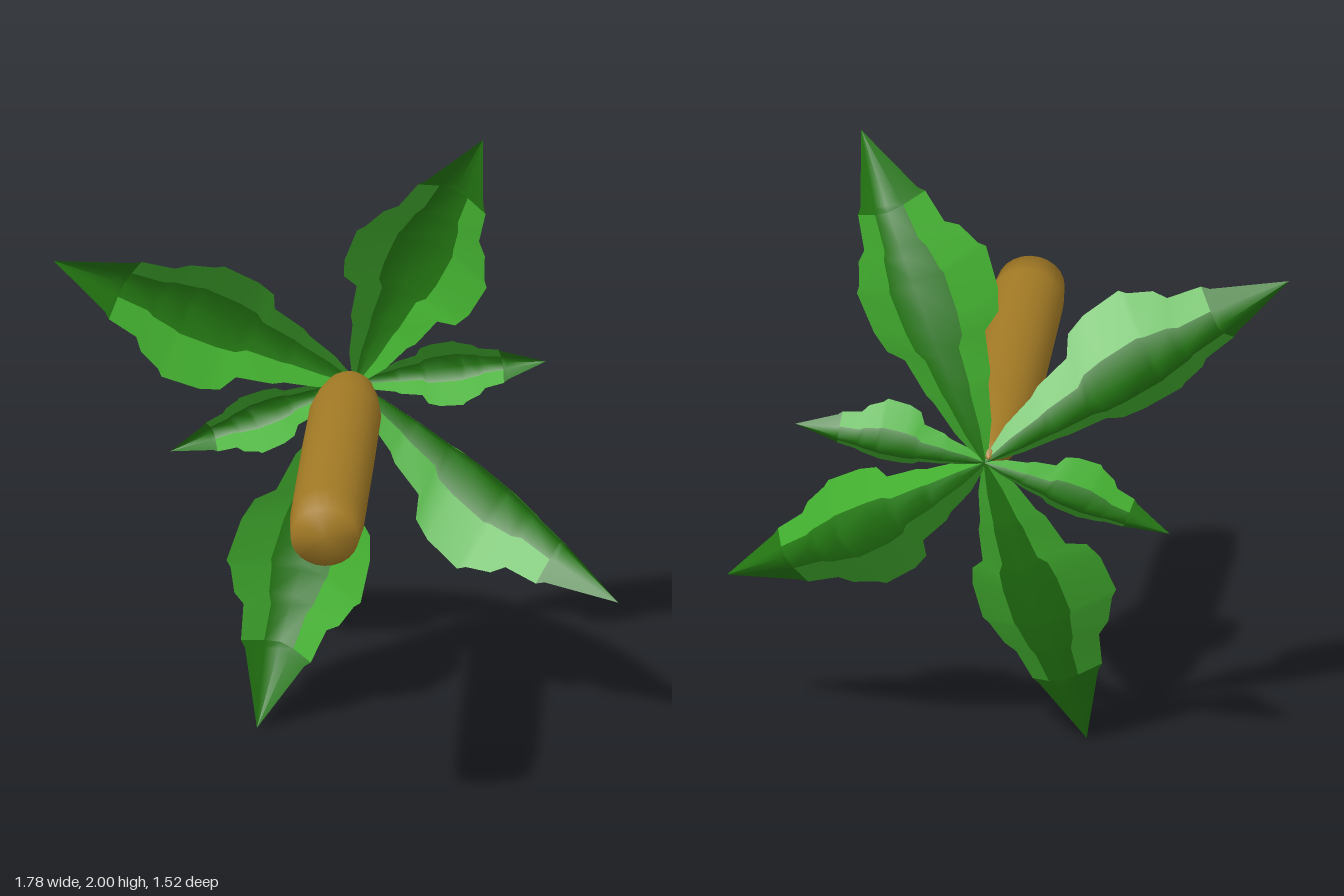
import * as THREE from 'three';

// Leaf outline: distance along the rib, half width as a share of the widest point
const OUTLINE = [[0, 0.04], [0.1, 0.28], [0.2, 0.42], [0.23, 0.5], [0.34, 0.62], [0.37, 0.86], [0.43, 0.96],
  [0.55, 1], [0.57, 0.92], [0.64, 0.78], [0.67, 0.62], [0.77, 0.52], [0.79, 0.44], [1, 0]];
const TIP_ROW = 11;
const ROOT = new THREE.Vector3(0.04, 1.03, -0.735);

// Tip position, upward bow of the rib, then [spread, droop] of the two sides
const LEAVES = [
  { tip: [0.46, 2, -0.38], bow: 0.08, left: [0.23, 0.16], right: [0.215, 0.18] },
  { tip: [-0.89, 1.55, -0.41], bow: 0.06, left: [0.16, 0.23], right: [0.235, 0.15] },
  { tip: [-0.54, 0.8, -0.7], bow: 0.045, left: [0.085, 0.12], right: [0.11, 0.11] },
  { tip: [-0.25, 0, -0.38], bow: 0.08, left: [0.2, 0.19], right: [0.24, 0.15] },
  { tip: [0.89, 0.48, -0.3], bow: 0.1, left: [0.11, 0.25], right: [0.245, 0.14] },
  { tip: [0.64, 1.13, -0.7], bow: 0.045, left: [0.125, 0.1], right: [0.085, 0.12] },
];

// Sheet through rows of points
function sheet(rows) {
  const n = rows[0].length, index = [];
  for (let i = 0; i < rows.length - 1; i++) {
    for (let j = 0; j < n - 1; j++) {
      const a = i * n + j, b = a + n;
      index.push(a, b, a + 1, a + 1, b, b + 1);
    }
  }
  const geometry = new THREE.BufferGeometry().setFromPoints(rows.flat());
  geometry.setIndex(index);
  geometry.computeVertexNormals();
  return geometry;
}

function makeLeaf({ tip, bow, left, right }, dark, light) {
  const leaf = new THREE.Group();
  leaf.name = 'leaf';
  const end = new THREE.Vector3(...tip);
  const side = new THREE.Vector3(end.y - ROOT.y, ROOT.x - end.x, 0).normalize();
  // Each row: right edge, right fold, rib, left fold, left edge
  const rows = OUTLINE.map(([t, w]) => {
    const rib = ROOT.clone().lerp(end, t);
    rib.z -= bow * 4 * t * (1 - t);
    const at = (sign, [spread, droop], out, down) => {
      const p = rib.clone().addScaledVector(side, sign * spread * w * out);
      p.z += droop * w * down;
      return p;
    };
    return [at(1, right, 1, 1), at(1, right, 0.42, 0.27), rib, at(-1, left, 0.42, 0.27), at(-1, left, 1, 1)];
  });
  const add = (name, part, material) => {
    const mesh = new THREE.Mesh(sheet(part), material);
    mesh.name = name;
    leaf.add(mesh);
  };
  const blade = rows.slice(0, TIP_ROW + 1);
  add('leafCentre', blade.map((r) => r.slice(1, 4)), dark);
  add('leafRightSide', blade.map((r) => r.slice(0, 2)), light);
  add('leafLeftSide', blade.map((r) => r.slice(3, 5)), light);
  add('leafTip', rows.slice(TIP_ROW), dark);
  return leaf;
}

function makeTrunk(bark) {
  // Radius along the length, from the crown end to the foot
  const profile = [[0, -0.735], [0.025, -0.72], [0.05, -0.68], [0.08, -0.6], [0.1, -0.5], [0.114, -0.38],
    [0.117, 0], [0.118, 0.6], [0.107, 0.757], [0, 0.76]];
  const geometry = new THREE.LatheGeometry(profile.map(([r, y]) => new THREE.Vector2(r, y)), 24);
  geometry.rotateX(Math.PI / 2);
  geometry.scale(1, 0.9, 1);
  // Slight bend along the length
  const p = geometry.attributes.position;
  for (let i = 0; i < p.count; i++) {
    const z = p.getZ(i);
    p.setXY(i, p.getX(i) + 0.027, p.getY(i) + 1.078 + 0.045 * Math.min(z, 0.5));
  }
  const trunk = new THREE.Mesh(geometry, bark);
  trunk.name = 'trunk';
  return trunk;
}

export function createModel() {
  const bark = new THREE.MeshStandardMaterial({ color: 0xa27a25 });
  bark.name = 'bark brown';
  const dark = new THREE.MeshStandardMaterial({ color: 0x237612, side: THREE.DoubleSide });
  dark.name = 'dark green';
  const light = new THREE.MeshStandardMaterial({ color: 0x42ae2f, side: THREE.DoubleSide });
  light.name = 'light green';

  const palm = new THREE.Group();
  palm.name = 'palmTree';
  palm.add(makeTrunk(bark));
  for (const spec of LEAVES) palm.add(makeLeaf(spec, dark, light));
  return palm;
}
